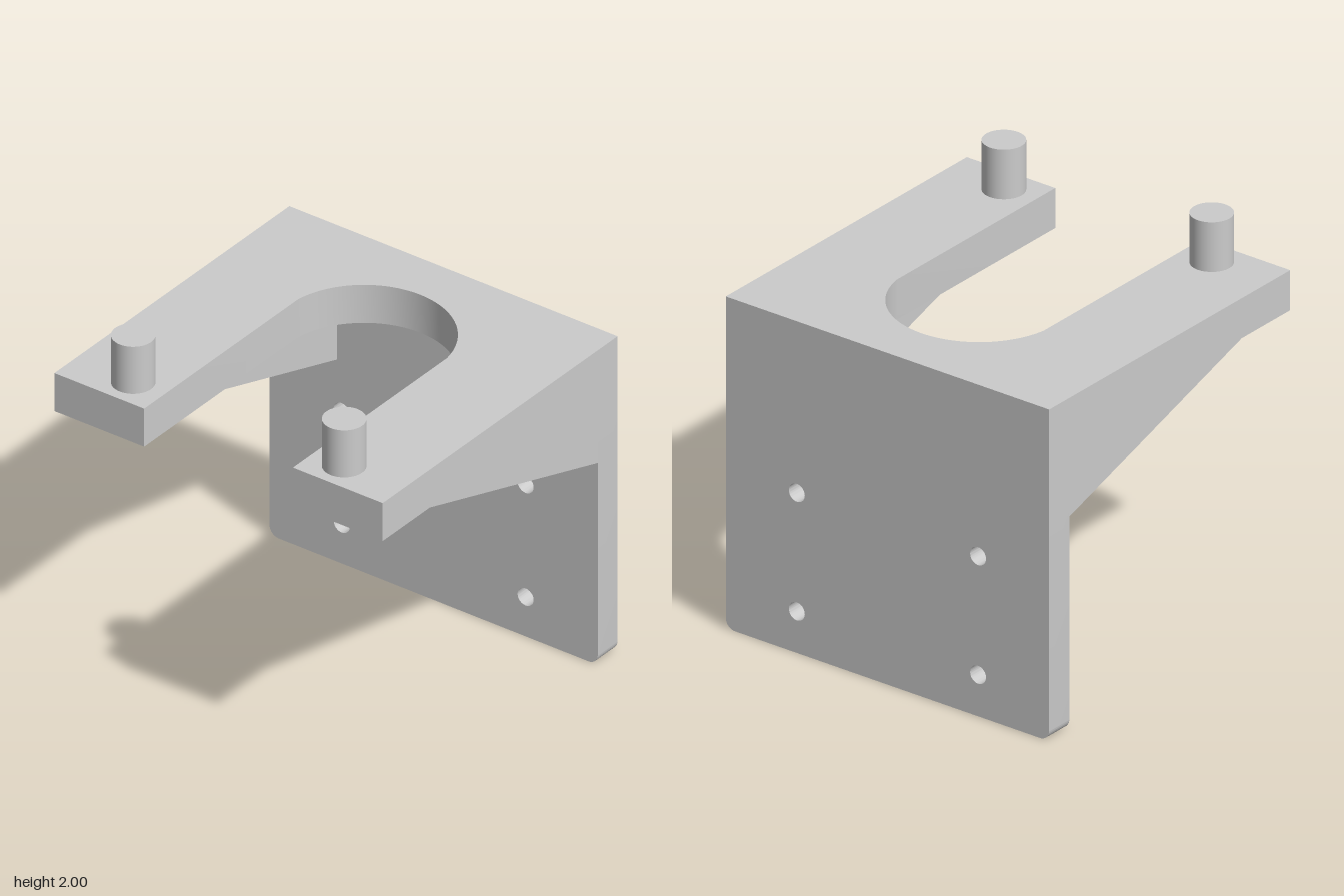
import * as THREE from 'three';
import { toCreasedNormals } from 'three/addons/utils/BufferGeometryUtils.js';

const W = 0.96, D = 0.92;                 // half width, half depth
const TOP = 1.74, UNDER = 1.53;           // shelf top and underside
const WALL_FRONT = -0.765;                // front face of the back plate

export function createModel() {
  const group = new THREE.Group();
  group.name = 'mountingBracket';
  const material = new THREE.MeshStandardMaterial({ color: 0xcccccc });

  const add = (name, geometry) => {
    const mesh = new THREE.Mesh(geometry, material);
    mesh.name = name;
    group.add(mesh);
    return mesh;
  };
  const extrude = (shape, depth) => toCreasedNormals(
    new THREE.ExtrudeGeometry(shape, { depth, bevelEnabled: false, curveSegments: 32 }), 0.6);

  // Horizontal U-shaped shelf, drawn with shape y = -z
  const slot = 0.435, r = 0.44, arcY = 0.22;
  const a = Math.acos(slot / r);
  const shelf = new THREE.Shape();
  shelf.moveTo(-W, -D);
  shelf.lineTo(-slot, -D);
  shelf.lineTo(-slot, arcY + r * Math.sin(a));
  shelf.absarc(0, arcY, r, Math.PI - a, a, true);
  shelf.lineTo(slot, -D);
  shelf.lineTo(W, -D);
  shelf.lineTo(W, D);
  shelf.lineTo(-W, D);
  shelf.closePath();
  add('shelf', extrude(shelf, TOP - UNDER).rotateX(-Math.PI / 2).translate(0, UNDER, 0));

  // Vertical back plate with rounded lower corners and four screw holes
  const c = 0.055;
  const plate = new THREE.Shape();
  plate.moveTo(-W + c, 0);
  plate.lineTo(W - c, 0);
  plate.absarc(W - c, c, c, -Math.PI / 2, 0, false);
  plate.lineTo(W, UNDER);
  plate.lineTo(-W, UNDER);
  plate.lineTo(-W, c);
  plate.absarc(-W + c, c, c, Math.PI, Math.PI * 1.5, false);
  for (const x of [-0.538, 0.538]) {
    for (const y of [0.218, 0.84]) {
      plate.holes.push(new THREE.Path().absarc(x, y, 0.047, 0, Math.PI * 2, true));
    }
  }
  add('backPlate', extrude(plate, WALL_FRONT + D).translate(0, 0, -D));

  // Triangular gussets: an outer and an inner one under each arm
  const rib = new THREE.Shape([
    new THREE.Vector2(WALL_FRONT, 1.117),
    new THREE.Vector2(0.55, UNDER),
    new THREE.Vector2(WALL_FRONT, UNDER),
  ]);
  const ribWidth = 0.105;
  const ribGeometry = extrude(rib, ribWidth).rotateY(-Math.PI / 2).translate(ribWidth / 2, 0, 0);
  for (const side of [-1, 1]) {
    const label = side > 0 ? 'left' : 'right';
    add(label + 'OuterGusset', ribGeometry).position.x = side * (W - ribWidth / 2);
    add(label + 'InnerGusset', ribGeometry).position.x = side * 0.619;

    // Locating pin at the tip of each arm
    add(label + 'Pin', new THREE.CylinderGeometry(0.105, 0.105, 2 - TOP, 48))
      .position.set(side * 0.617, (2 + TOP) / 2, 0.762);
  }
  return group;
}
